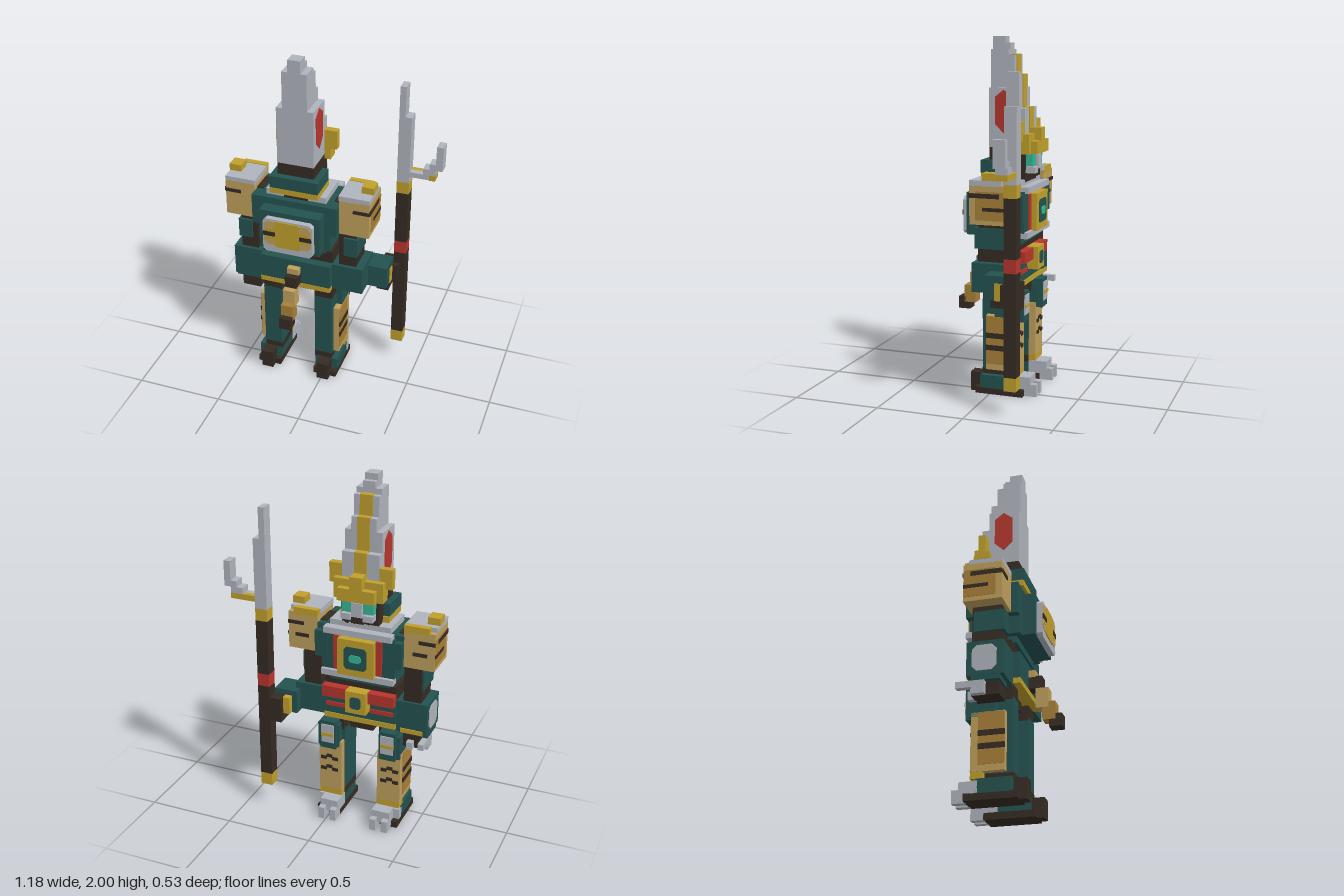
import * as THREE from 'three';

const mat = (name, color) => {
  const m = new THREE.MeshStandardMaterial({ color });
  m.name = name;
  return m;
};

export function createModel() {
  const teal = mat('deep teal', 0x23524f), dark = mat('dark brown', 0x352b23);
  const grey = mat('pale grey', 0xb0b4bc), gold = mat('gold', 0xc0a02c);
  const tan = mat('tan', 0xbfa05c), ochre = mat('ochre', 0xa98038);
  const red = mat('red', 0xb8352d), mint = mat('mint', 0x35b795);

  const model = new THREE.Group();
  model.name = 'armouredGuardian';
  const group = (name, x = 0) => {
    const g = new THREE.Group();
    g.name = name;
    g.position.x = x;
    model.add(g);
    return g;
  };
  // box from its limits
  const box = (g, name, m, x0, x1, y0, y1, z0, z1) => {
    const mesh = new THREE.Mesh(new THREE.BoxGeometry(Math.abs(x1 - x0), y1 - y0, z1 - z0), m);
    mesh.position.set((x0 + x1) / 2, (y0 + y1) / 2, (z0 + z1) / 2);
    mesh.name = name;
    g.add(mesh);
  };
  // same box on both sides of the body
  const pair = (g, name, m, x0, x1, ...r) => {
    box(g, name, m, x0, x1, ...r);
    box(g, name, m, -x1, -x0, ...r);
  };
  // thin polygon plate facing along z
  const plate = (g, name, m, pts, z, depth = 0.006) => {
    const s = new THREE.Shape(pts.map(p => new THREE.Vector2(...p)));
    const mesh = new THREE.Mesh(new THREE.ExtrudeGeometry(s, { depth, bevelEnabled: false }), m);
    mesh.position.z = z;
    mesh.name = name;
    g.add(mesh);
    return mesh;
  };
  const octagon = (cx, cy, w, h, c) => [[-w, -h + c], [-w + c, -h], [w - c, -h], [w, -h + c],
    [w, h - c], [w - c, h], [-w + c, h], [-w, h - c]].map(([x, y]) => [cx + x, cy + y]);

  const CX = -0.165;

  // tall stepped hat: [y0, y1, half width, face z]
  const hat = group('hat', CX);
  [[1.39, 1.61, 0.105, -0.16], [1.61, 1.72, 0.105, -0.12], [1.72, 1.79, 0.07, -0.12],
    [1.79, 1.9, 0.07, -0.085], [1.9, 1.93, 0.07, -0.05], [1.93, 1.965, 0.035, -0.05],
    [1.965, 2, 0.035, -0.02]].forEach(([y0, y1, w, z], i) => {
    box(hat, 'hatTier', grey, -w, w, y0, y1, z, 0.052);
    if (i < 4) {
      box(hat, 'hatStripe', gold, -0.035, 0.035, y0, y1, z - 0.006, z);
      box(hat, 'hatStripeTop', gold, -0.035, 0.035, y1, y1 + 0.004, z - 0.006, z + 0.035);
    }
  });
  for (const s of [-1, 1]) {
    const gem = plate(hat, 'hatGem', red, [[-0.035, 1.47], [0.015, 1.52], [0.015, 1.67],
      [-0.035, 1.71], [-0.087, 1.67], [-0.087, 1.52]], 0, 0.008);
    gem.rotation.y = -Math.PI / 2;
    gem.position.x = s * 0.105 + 0.004;
  }

  // crown and face
  const head = group('head', CX);
  pair(head, 'crownWing', gold, 0.105, 0.178, 1.43, 1.54, -0.16, -0.12);
  box(head, 'crownBand', gold, -0.105, 0.105, 1.37, 1.47, -0.195, -0.16);
  pair(head, 'crownSide', gold, 0.07, 0.14, 1.36, 1.47, -0.195, -0.125);
  box(head, 'crownBrow', gold, -0.105, 0.105, 1.36, 1.43, -0.232, -0.195);
  box(head, 'crownPeak', gold, -0.035, 0.035, 1.43, 1.5, -0.232, -0.16);
  box(head, 'skull', dark, -0.105, 0.105, 1.2, 1.39, -0.16, 0.05);
  box(head, 'face', grey, -0.07, 0.07, 1.25, 1.36, -0.195, -0.16);
  pair(head, 'mask', mint, 0.03, 0.09, 1.29, 1.36, -0.2, -0.155);
  box(head, 'nose', grey, -0.03, 0.03, 1.27, 1.35, -0.215, -0.19);
  pair(head, 'moustache', grey, 0.035, 0.09, 1.25, 1.285, -0.215, -0.16);
  box(head, 'mouth', dark, -0.035, 0.035, 1.23, 1.265, -0.205, -0.16);

  // collar
  const collar = group('collar', CX);
  box(collar, 'collarBack', teal, -0.14, 0.14, 1.25, 1.32, 0.05, 0.09);
  pair(collar, 'collarSide', teal, 0.105, 0.14, 1.25, 1.32, -0.09, 0.05);
  box(collar, 'collarTrim', gold, -0.14, 0.14, 1.215, 1.25, -0.1, 0.088);
  box(collar, 'neckGuard', grey, -0.175, 0.175, 1.18, 1.215, -0.16, 0.05);
  box(collar, 'neckShade', dark, -0.07, 0.07, 1.18, 1.215, 0.05, 0.055);

  // torso
  const torso = group('torso', CX);
  box(torso, 'chest', teal, -0.25, 0.25, 1, 1.18, -0.16, 0.088);
  box(torso, 'ribs', teal, -0.21, 0.21, 0.9, 1, -0.16, 0.088);
  box(torso, 'chestPlate', teal, -0.21, 0.21, 0.93, 1.16, -0.19, -0.16);
  pair(torso, 'chestEdge', teal, 0.175, 0.25, 1.0, 1.15, -0.198, -0.16);
  pair(torso, 'shoulderJoint', dark, 0.21, 0.25, 1.18, 1.186, -0.125, 0.01);
  box(torso, 'chestRailTop', grey, -0.195, 0.195, 1.15, 1.185, -0.21, -0.16);
  box(torso, 'chestRailLow', grey, -0.21, 0.21, 0.9, 0.935, -0.21, -0.16);
  pair(torso, 'chestStripe', red, 0.105, 0.14, 0.94, 1.14, -0.2, -0.18);
  box(torso, 'emblemFrame', gold, -0.105, 0.105, 0.93, 1.14, -0.23, -0.18);
  plate(torso, 'emblemField', teal, octagon(0, 1.035, 0.065, 0.065, 0.015), -0.235);
  plate(torso, 'emblemEye', mint, octagon(0, 1.035, 0.035, 0.022, 0.012), -0.24);
  box(torso, 'stomach', teal, -0.175, 0.175, 0.86, 0.9, -0.16, 0.06);
  box(torso, 'waist', dark, -0.21, 0.21, 0.78, 0.865, -0.15, 0.04);

  // back pack
  const pack = group('backPack', CX);
  box(pack, 'packBase', teal, -0.175, 0.175, 0.9, 1.14, 0.088, 0.16);
  plate(pack, 'packFrame', grey, octagon(0, 1.005, 0.145, 0.105, 0.018), 0.16, 0.032);
  plate(pack, 'packPanel', tan, octagon(0, 1.022, 0.138, 0.075, 0.02), 0.19, 0.005);
  plate(pack, 'packCenter', gold, octagon(0, 1.02, 0.075, 0.082, 0.01), 0.192, 0.006);
  box(pack, 'packBar', gold, -0.12, 0.12, 0.985, 1.055, 0.192, 0.197);
  pair(pack, 'packSlot', dark, 0.07, 0.14, 1.005, 1.032, 0.193, 0.199);

  // hips, belt and skirt
  const hips = group('hips', CX);
  box(hips, 'pelvis', teal, -0.21, 0.21, 0.645, 0.79, -0.16, 0.088);
  box(hips, 'skirtTrim', gold, -0.21, 0.21, 0.615, 0.645, -0.165, 0.09);
  box(hips, 'belt', red, -0.21, 0.21, 0.76, 0.825, -0.198, -0.14);
  pair(hips, 'skirtStripe', red, 0.06, 0.2, 0.69, 0.715, -0.167, -0.16);
  box(hips, 'buckle', gold, -0.06, 0.06, 0.7, 0.83, -0.225, -0.16);
  plate(hips, 'buckleEye', teal, octagon(0, 0.765, 0.032, 0.035, 0.012), -0.23);
  box(hips, 'loincloth', dark, -0.07, 0.07, 0.56, 0.62, -0.13, 0.02);

  // hooked tail: [material, y0, y1, z0, z1]
  const tail = group('tail', CX);
  [[tan, 0.715, 0.755, 0.085, 0.125], [dark, 0.65, 0.72, 0.085, 0.16], [tan, 0.54, 0.65, 0.125, 0.194],
    [ochre, 0.47, 0.57, 0.16, 0.23], [dark, 0.43, 0.5, 0.195, 0.265]].forEach(([m, ...r]) =>
    box(tail, 'tailSegment', m, -0.035, 0.035, ...r));

  // legs and feet
  const legs = group('legs', CX);
  pair(legs, 'thigh', dark, 0.105, 0.21, 0.53, 0.62, -0.13, 0.05);
  pair(legs, 'legBack', teal, 0.105, 0.21, 0.14, 0.545, -0.12, 0.052);
  pair(legs, 'shin', tan, 0.108, 0.245, 0.145, 0.46, -0.16, 0.02);
  pair(legs, 'shinPanel', ochre, 0.245, 0.249, 0.18, 0.455, -0.12, 0.018);
  for (const y of [0.26, 0.33]) {
    pair(legs, 'sideStripe', dark, 0.245, 0.252, y, y + 0.03, -0.12, 0.02);
    pair(legs, 'frontStripe', dark, 0.13, 0.165, y + 0.005, y + 0.025, -0.165, -0.16);
    pair(legs, 'frontStripe', dark, 0.165, 0.2, y + 0.02, y + 0.04, -0.165, -0.16);
    pair(legs, 'frontStripe', dark, 0.2, 0.235, y + 0.005, y + 0.025, -0.165, -0.16);
  }
  pair(legs, 'kneeGuard', teal, 0.12, 0.245, 0.435, 0.575, -0.175, -0.03);
  pair(legs, 'kneeCap', teal, 0.13, 0.225, 0.43, 0.6, -0.195, -0.09);
  pair(legs, 'kneePlate', grey, 0.14, 0.215, 0.47, 0.58, -0.202, -0.194);
  pair(legs, 'kneeBand', gold, 0.14, 0.215, 0.51, 0.53, -0.206, -0.2);
  pair(legs, 'ankle', dark, 0.105, 0.21, 0.1, 0.145, -0.12, 0.053);
  pair(legs, 'ankleTrim', gold, 0.108, 0.243, 0.11, 0.145, -0.16, -0.095);
  pair(legs, 'foot', teal, 0.108, 0.245, 0.035, 0.11, -0.13, 0.055);
  pair(legs, 'sole', dark, 0.105, 0.245, 0, 0.038, -0.195, 0.085);
  pair(legs, 'heel', dark, 0.14, 0.21, 0, 0.11, 0.05, 0.125);
  pair(legs, 'toeCap', grey, 0.105, 0.21, 0.036, 0.11, -0.23, -0.12);
  pair(legs, 'toeSide', grey, 0.2, 0.245, 0.036, 0.1, -0.16, -0.12);
  pair(legs, 'claw', grey, 0.105, 0.14, 0, 0.07, -0.266, -0.19);
  pair(legs, 'claw', grey, 0.175, 0.21, 0, 0.07, -0.266, -0.19);

  // shoulder guards and upper arms
  const arms = group('arms', CX);
  pair(arms, 'shoulderGuard', tan, 0.248, 0.422, 1.005, 1.22, -0.16, 0.05);
  pair(arms, 'shoulderTop', grey, 0.245, 0.422, 1.215, 1.245, -0.13, 0.05);
  pair(arms, 'shoulderTrim', gold, 0.248, 0.39, 1.21, 1.249, -0.164, -0.13);
  pair(arms, 'shoulderStud', gold, 0.355, 0.424, 1.245, 1.285, -0.095, -0.02);
  pair(arms, 'shoulderPanel', ochre, 0.422, 0.425, 1.03, 1.185, -0.155, 0.015);
  pair(arms, 'sideStripe', dark, 0.422, 0.427, 1.15, 1.175, -0.12, 0.05);
  pair(arms, 'sideStripe', dark, 0.422, 0.427, 1.08, 1.1, -0.16, -0.025);
  for (const z of [-0.165, 0.05]) {
    pair(arms, 'faceStripe', dark, 0.33, 0.424, 1.15, 1.17, z, z + 0.005);
  }
  pair(arms, 'faceStripe', dark, 0.3, 0.38, 1.08, 1.1, -0.165, -0.16);
  pair(arms, 'upperArm', dark, 0.245, 0.345, 0.785, 1.005, -0.13, 0.03);
  pair(arms, 'armPlate', teal, 0.275, 0.355, 0.86, 0.975, -0.12, 0.045);

  // right forearm and hand
  const rightArm = group('rightForearm');
  box(rightArm, 'forearm', teal, -0.552, -0.375, 0.6, 0.788, -0.145, 0.05);
  box(rightArm, 'forearmCuff', teal, -0.55, -0.41, 0.575, 0.6, -0.12, 0.03);
  box(rightArm, 'cuffTrim', gold, -0.53, -0.4, 0.6, 0.625, -0.151, -0.145);
  const guard = plate(rightArm, 'forearmGuard', grey, octagon(-0.05, 0.695, 0.065, 0.07, 0.025), 0, 0.006);
  guard.rotation.y = -Math.PI / 2;
  guard.position.x = -0.551;
  box(rightArm, 'hand', dark, -0.52, -0.41, 0.505, 0.58, -0.125, 0.02);
  box(rightArm, 'thumb', grey, -0.553, -0.52, 0.505, 0.575, -0.12, -0.05);
  box(rightArm, 'handClaw', grey, -0.553, -0.52, 0.54, 0.575, -0.2, -0.12);
  box(rightArm, 'handClaw', grey, -0.475, -0.44, 0.505, 0.55, -0.16, -0.12);

  // left forearm reaching to the staff
  const leftArm = group('leftForearm');
  box(leftArm, 'elbow', teal, 0.045, 0.225, 0.625, 0.788, -0.15, 0.05);
  box(leftArm, 'forearm', teal, 0.2, 0.335, 0.615, 0.75, -0.198, -0.06);
  box(leftArm, 'cuffPlate', gold, 0.335, 0.341, 0.615, 0.71, -0.16, -0.12);
  box(leftArm, 'cuffTrim', gold, 0.23, 0.27, 0.62, 0.72, -0.235, -0.195);
  box(leftArm, 'hand', dark, 0.268, 0.336, 0.575, 0.72, -0.266, -0.19);
  box(leftArm, 'palm', dark, 0.268, 0.336, 0.575, 0.617, -0.2, -0.1);
  box(leftArm, 'thumb', dark, 0.335, 0.372, 0.62, 0.71, -0.198, -0.165);

  // staff with hooked blade
  const staff = group('staff');
  [['footCap', gold, 0.145, 0.22], ['shaftLow', dark, 0.22, 0.785], ['grip', red, 0.785, 0.86],
    ['shaftHigh', dark, 0.86, 1.18], ['headCap', gold, 1.18, 1.25], ['blade', grey, 1.25, 1.65]]
    .forEach(([n, m, y0, y1]) => box(staff, n, m, 0.336, 0.406, y0, y1, -0.266, -0.197));
  box(staff, 'bladeTip', grey, 0.336, 0.37, 1.65, 1.825, -0.266, -0.197);
  box(staff, 'hookBase', grey, 0.406, 0.515, 1.29, 1.32, -0.235, -0.2);
  box(staff, 'hookInlay', gold, 0.406, 0.515, 1.288, 1.32, -0.266, -0.235);
  box(staff, 'hookInlayEnd', gold, 0.515, 0.55, 1.288, 1.32, -0.266, -0.2);
  box(staff, 'hookStep', grey, 0.48, 0.55, 1.32, 1.355, -0.266, -0.2);
  box(staff, 'hookStepHigh', grey, 0.515, 0.55, 1.355, 1.39, -0.266, -0.2);
  box(staff, 'hookTip', grey, 0.55, 0.588, 1.355, 1.5, -0.266, -0.2);

  return model;
}
